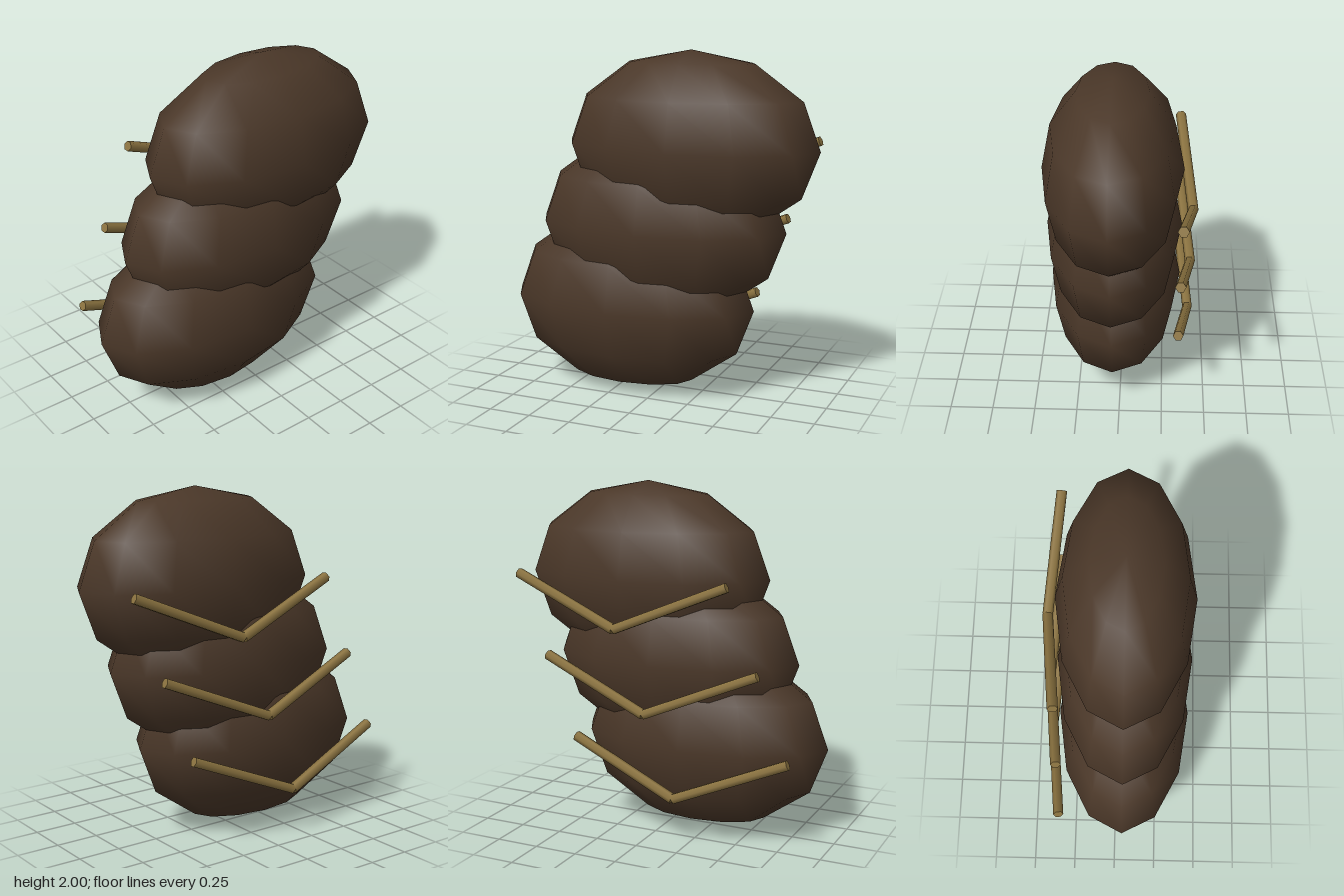
import * as THREE from 'three';

const darkBrown = new THREE.MeshStandardMaterial({ color: 0x4a3728 });
darkBrown.name = 'dark brown';
const strawGold = new THREE.MeshStandardMaterial({ color: 0x8b7340 });
strawGold.name = 'straw gold';

// Straight rod between two points
function rod(name, a, b, radius) {
  const dir = b.clone().sub(a);
  const mesh = new THREE.Mesh(new THREE.CylinderGeometry(radius, radius, dir.length(), 6), strawGold);
  mesh.name = name;
  mesh.position.copy(a).add(b).multiplyScalar(0.5);
  mesh.quaternion.setFromUnitVectors(new THREE.Vector3(0, 1, 0), dir.normalize());
  return mesh;
}

export function createModel() {
  const model = new THREE.Group();
  model.name = 'stackedBundles';

  // Three leaning, overlapping lobes, each with a V-shaped rod behind it
  for (const i of [-1, 0, 1]) {
    const segment = new THREE.Group();
    segment.name = ['lowerSegment', 'middleSegment', 'upperSegment'][i + 1];
    segment.position.set(i * 0.182, 1 + i * 0.467, 0.042);

    const lobe = new THREE.Mesh(new THREE.SphereGeometry(1, 12, 6), darkBrown);
    lobe.name = 'lobe';
    lobe.scale.set(0.754, 0.533, 0.392);
    segment.add(lobe);

    const apex = new THREE.Vector3(0, -0.26, -0.446);
    for (const side of [-1, 1]) {
      const tip = new THREE.Vector3(side * 0.65, 0.008, -0.378);
      segment.add(rod(side > 0 ? 'leftRod' : 'rightRod', apex, tip, 0.03));
    }
    model.add(segment);
  }
  return model;
}
